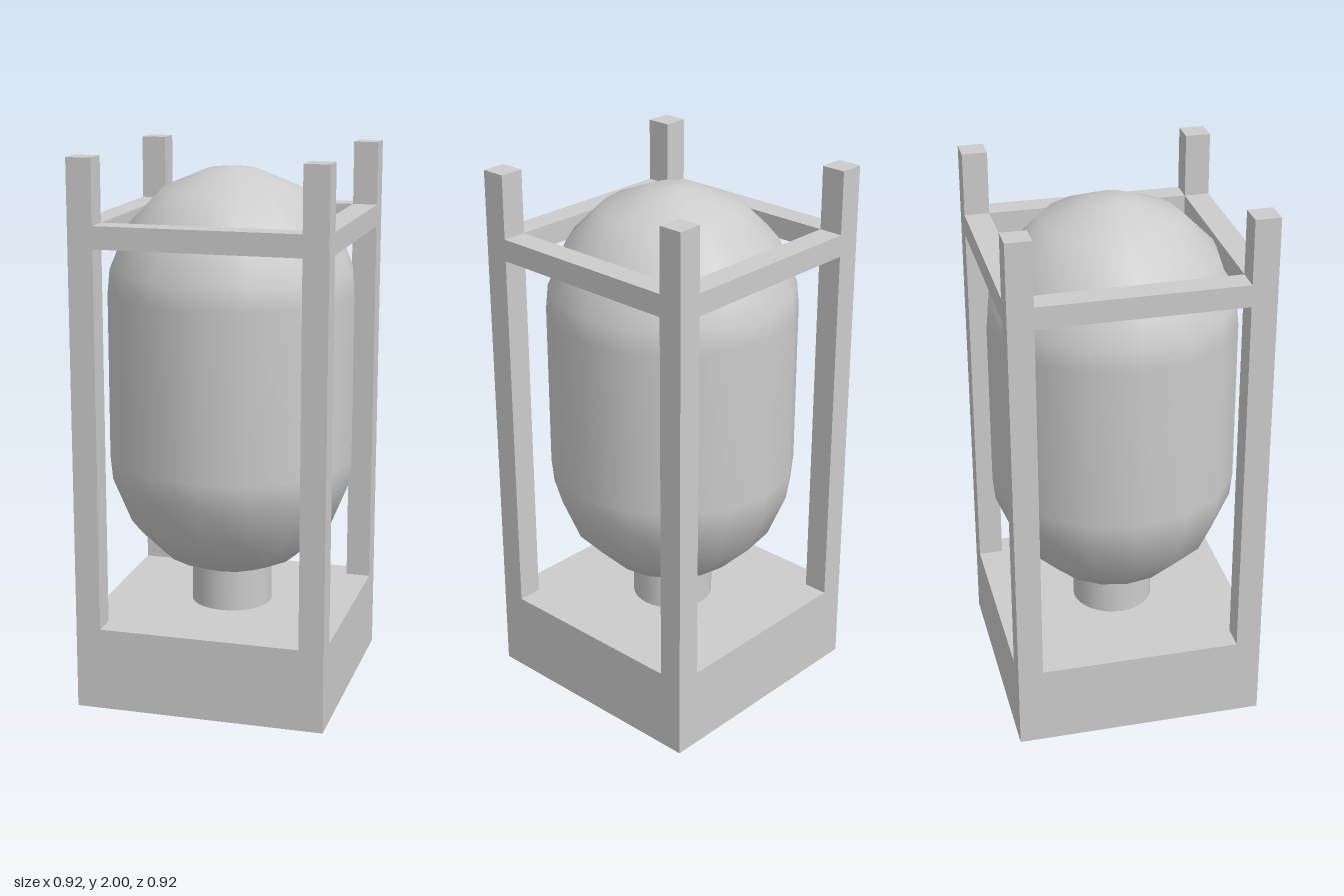
import * as THREE from 'three';

const material = new THREE.MeshStandardMaterial({ color: 0xcccccc });

export function createModel() {
  const model = new THREE.Group();
  const half = 0.459, inner = 0.368, baseTop = 0.305;
  const post = half - inner, mid = (half + inner) / 2;

  const add = (name, geometry, x, y, z) => {
    const mesh = new THREE.Mesh(geometry, material);
    mesh.name = name;
    mesh.position.set(x, y, z);
    model.add(mesh);
    return mesh;
  };

  // Solid plinth
  add('base', new THREE.BoxGeometry(half * 2, baseTop, half * 2), 0, baseTop / 2, 0);

  // Four corner posts
  const postHeight = 2 - baseTop;
  for (const x of [-mid, mid])
    for (const z of [-mid, mid])
      add('cornerPost', new THREE.BoxGeometry(post, postHeight, post), x, baseTop + postHeight / 2, z);

  // Rails joining the posts near the top
  for (const s of [-1, 1]) {
    add('crossRail', new THREE.BoxGeometry(inner * 2, 0.08, post), 0, 1.729, s * mid);
    add('sideRail', new THREE.BoxGeometry(post, 0.08, inner * 2), s * mid, 1.729, 0);
  }

  // Neck below the tank
  add('neck', new THREE.CylinderGeometry(0.15, 0.15, 0.17, 32), 0, baseTop + 0.085, 0);

  // Capsule tank: two faceted hemispheres joined by a straight wall
  const radius = 0.453, lowCentre = 0.875, highCentre = 1.485;
  const angles = [0, 11.25, 33.75, 56.25, 78.75].map(THREE.MathUtils.degToRad);
  const lower = angles.map(a => new THREE.Vector2(radius * Math.sin(a), lowCentre - radius * Math.cos(a)));
  const upper = angles.map(a => new THREE.Vector2(radius * Math.sin(a), highCentre + radius * Math.cos(a))).reverse();
  const wall = [new THREE.Vector2(radius, lowCentre), new THREE.Vector2(radius, highCentre)];
  add('tank', new THREE.LatheGeometry([...lower, ...wall, ...upper], 16), 0, 0, 0);

  return model;
}
